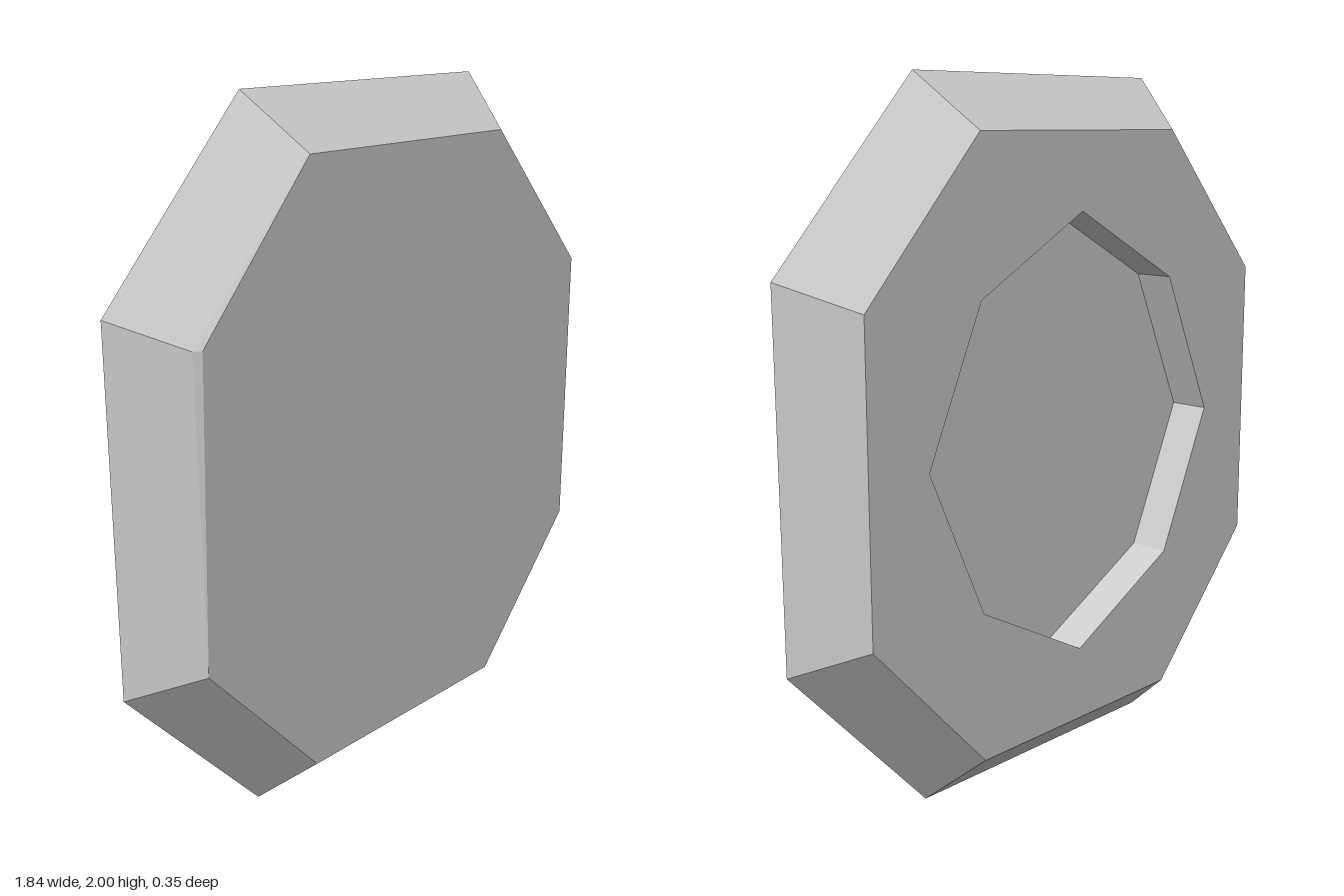
import * as THREE from 'three';

const MID = 1;        // height of the centre
const HALF = 0.174;   // half thickness
const FLOOR = -0.054; // bottom of the recess in the back

// Eight corners, counter-clockwise seen from the front
const octagon = (a, b, c, d, z) =>
  [[a, b], [-a, b], [-c, d], [-c, -d], [-a, -b], [a, -b], [c, -d], [c, d]]
    .map(([x, y]) => new THREE.Vector3(x, y + MID, z));

// Octagon with its corners on the axes
const turned = (rx, ry, dx, dy, z) =>
  [[0, ry], [-dx, dy], [-rx, 0], [-dx, -dy], [0, -ry], [dx, -dy], [rx, 0], [dx, dy]]
    .map(([x, y]) => new THREE.Vector3(x, y + MID, z));

// Faces between two loops, the first nearer the viewer of the outer side
function band(from, to) {
  const tris = [];
  from.forEach((a, i) => {
    const j = (i + 1) % from.length;
    tris.push([a, to[i], from[j]], [to[i], to[j], from[j]]);
  });
  return tris;
}

// Flat cap around the centre
function cap(loop, facesFront) {
  const centre = new THREE.Vector3(0, MID, loop[0].z);
  return loop.map((p, i) => {
    const q = loop[(i + 1) % loop.length];
    return facesFront ? [centre, p, q] : [centre, q, p];
  });
}

function part(name, tris) {
  // drop empty triangles
  const solid = tris.filter(([a, b, c]) => new THREE.Triangle(a, b, c).getArea() > 1e-7);
  const geometry = new THREE.BufferGeometry().setFromPoints(solid.flat());
  geometry.computeVertexNormals();
  const mesh = new THREE.Mesh(geometry,
    new THREE.MeshStandardMaterial({ color: 0xcccccc, flatShading: true }));
  mesh.name = name;
  return mesh;
}

export function createModel() {
  const group = new THREE.Group();
  group.name = 'octagonalPlate';

  const front = octagon(0.39, 0.85, 0.78, 0.425, HALF);
  const equator = octagon(0.458, 1, 0.918, 0.5, 0);
  const back = octagon(0.39, 0.85, 0.78, 0.425, -HALF);
  const rim = turned(0.58, 0.633, 0.39, 0.424, -HALF);
  const floor = turned(0.58, 0.633, 0.39, 0.424, FLOOR);

  // the upper corner on the right side of the front has a narrow chip
  const bevelFront = front.map((p) => p.clone());
  bevelFront[2].z -= 0.014;
  front[2].x += 0.02;

  group.add(part('frontPanel', cap(front, true)));
  group.add(part('cornerChip', band(front, bevelFront)));
  group.add(part('frontBevel', band(bevelFront, equator)));
  group.add(part('backBevel', band(equator, back)));
  group.add(part('backFace', band(back, rim)));
  group.add(part('recessWall', band(rim, floor)));
  group.add(part('recessFloor', cap(floor, false)));
  return group;
}
